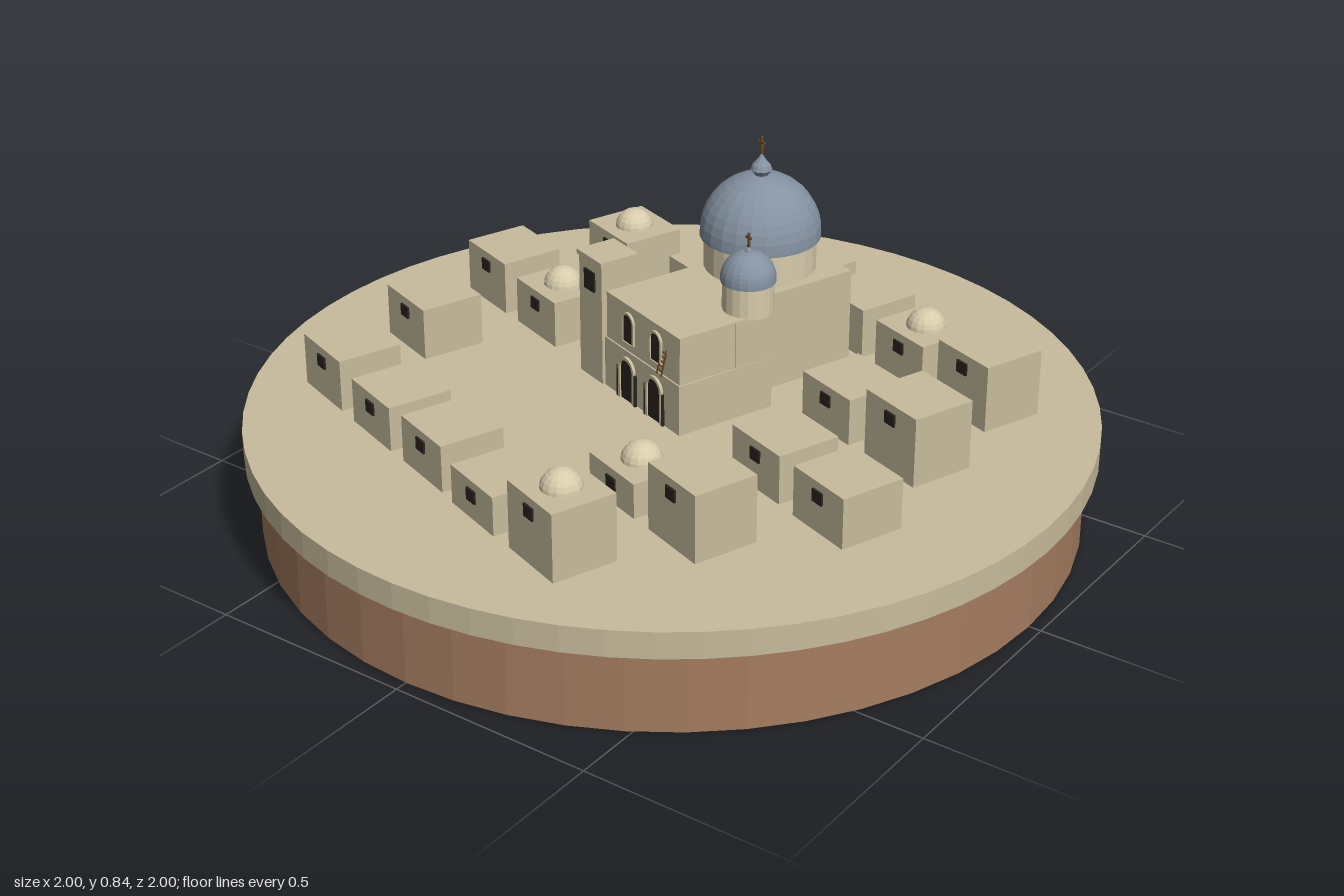
import * as THREE from 'three';

const mat = (name, color, flat = true) => {
  const m = new THREE.MeshStandardMaterial({ color, flatShading: flat });
  m.name = name;
  return m;
};

export function createModel() {
  const stone = mat('stone', 0xc8bc9c);
  const cream = mat('cream', 0xd8ccab);
  const earth = mat('earth', 0xa67d60);
  const slate = mat('slateBlue', 0x8592a2);
  const dark = mat('darkOpening', 0x2a2420);
  const wood = mat('wood', 0x6b4a2c);

  const model = new THREE.Group();
  model.name = 'hillTown';
  const TURN = -0.349, GROUND = 0.265;

  const add = (parent, name, geo, m, x = 0, y = 0, z = 0) => {
    const mesh = new THREE.Mesh(geo, m);
    mesh.name = name;
    mesh.position.set(x, y, z);
    parent.add(mesh);
    return mesh;
  };
  // box resting on y0
  const block = (parent, name, m, w, d, x, y0, y1, z) =>
    add(parent, name, new THREE.BoxGeometry(w, y1 - y0, d), m, x, (y0 + y1) / 2, z);
  const hemisphere = (r, n, rows) => new THREE.SphereGeometry(r, n, rows, 0, Math.PI * 2, 0, Math.PI / 2);
  const lathe = (pts, n) => new THREE.LatheGeometry(pts.map(p => new THREE.Vector2(...p)), n);

  // round plinth
  add(model, 'earthBase', new THREE.CylinderGeometry(0.97, 0.97, 0.2, 48), earth, 0, 0.1, 0);
  add(model, 'stonePlatform', new THREE.CylinderGeometry(1, 1, GROUND - 0.2, 64), stone, 0, (GROUND + 0.2) / 2, 0);

  // houses: x, z, roof height, has dome
  const houses = [
    [-0.245, -0.71, 0.425, 0], [-0.03, -0.63, 0.39, 0], [0.19, -0.55, 0.39, 0],
    [0.405, -0.47, 0.388, 1], [0.62, -0.395, 0.43, 0], [-0.46, -0.475, 0.42, 1],
    [-0.66, -0.235, 0.4, 0], [-0.445, -0.16, 0.383, 1], [0.4, -0.16, 0.38, 0],
    [0.62, -0.08, 0.435, 0], [-0.66, 0.075, 0.395, 0], [0.42, 0.155, 0.385, 0],
    [0.635, 0.235, 0.388, 0], [-0.645, 0.39, 0.393, 0], [-0.425, 0.47, 0.375, 0],
    [-0.21, 0.545, 0.38, 0], [0, 0.625, 0.36, 0], [0.22, 0.7, 0.43, 1],
    [0.2, 0.39, 0.35, 1], [0.415, 0.465, 0.43, 0],
  ];
  for (const [x, z, top, domed] of houses) {
    const house = new THREE.Group();
    house.name = 'house';
    house.position.set(x, 0, z);
    house.rotation.y = TURN;
    block(house, 'houseWalls', stone, 0.176, 0.16, 0, GROUND, top, 0);
    block(house, 'houseWindow', dark, 0.034, 0.008, 0, top - 0.05, top - 0.02, 0.081);
    if (domed) add(house, 'houseDome', hemisphere(0.048, 16, 6), cream, 0, top - 0.004, 0);
    model.add(house);
  }

  // church, origin under the main dome
  const church = new THREE.Group();
  church.name = 'church';
  church.position.set(0.035, 0, -0.31);
  church.rotation.y = TURN;
  model.add(church);
  block(church, 'rearHall', stone, 0.31, 0.31, 0, GROUND, 0.51, 0);
  block(church, 'frontHallLower', stone, 0.31, 0.26, 0.075, GROUND, 0.392, 0.26);
  block(church, 'frontHallUpper', stone, 0.302, 0.256, 0.075, 0.392, 0.51, 0.258);

  // bell tower
  block(church, 'bellTower', stone, 0.096, 0.096, -0.132, GROUND, 0.57, 0.347);
  block(church, 'bellTowerCap', stone, 0.104, 0.104, -0.132, 0.57, 0.582, 0.347);
  for (const s of [-1, 1])
    block(church, 'bellTowerWindow', dark, 0.042, 0.008, -0.132, 0.495, 0.545, 0.347 + s * 0.049);

  // arched openings on the facade
  const arch = (w, h) => {
    const r = w / 2, s = new THREE.Shape();
    s.moveTo(-r, 0);
    s.lineTo(r, 0);
    s.lineTo(r, h - r);
    s.absarc(0, h - r, r, 0, Math.PI, false);
    return s;
  };
  const archPlate = (w, h) =>
    new THREE.ExtrudeGeometry(arch(w, h), { depth: 0.004, bevelEnabled: false, curveSegments: 8 });
  const archFrame = (w, h, t) => {
    const s = arch(w + 2 * t, h + t);
    s.holes.push(arch(w, h));
    return new THREE.ExtrudeGeometry(s, { depth: 0.008, bevelEnabled: false, curveSegments: 8 });
  };
  for (const s of [-1, 1]) {
    const x = 0.075 + s * 0.057;
    add(church, 'upperWindow', archPlate(0.038, 0.072), dark, x, 0.415, 0.385);
    add(church, 'upperWindowFrame', archFrame(0.038, 0.072, 0.006), stone, x, 0.415, 0.384);
    add(church, 'portal', archPlate(0.05, 0.105), dark, x, GROUND, 0.389);
    add(church, 'portalFrame', archFrame(0.05, 0.105, 0.008), stone, x, GROUND, 0.389);
    for (const side of [-1, 1])
      add(church, 'portalColumn', new THREE.CylinderGeometry(0.004, 0.004, 0.08, 8), dark,
        x + side * 0.036, GROUND + 0.04, 0.394);
  }

  // ladder leaning on the ledge below the right window
  const ladder = new THREE.Group();
  ladder.name = 'ladder';
  ladder.position.set(0.155, 0.392, 0.395);
  ladder.rotation.set(-0.15, 0, -0.12);
  for (const s of [-1, 1]) block(ladder, 'ladderRail', wood, 0.003, 0.003, s * 0.009, 0, 0.07, 0);
  for (let i = 1; i < 6; i++) block(ladder, 'ladderRung', wood, 0.018, 0.003, 0, i * 0.0115, i * 0.0115 + 0.003, 0);
  church.add(ladder);

  // drum, dome, finial and cross; r is the dome radius
  const cupola = (name, r, x, z, y0, y1, finialH, crossH, n) => {
    const g = new THREE.Group();
    g.name = name;
    g.position.set(x, 0, z);
    const d = r * 0.93;
    add(g, 'drum', new THREE.CylinderGeometry(d, d, y1 - y0, n), cream, 0, (y0 + y1) / 2, 0);
    add(g, 'domeRim', new THREE.CylinderGeometry(r, r, 0.008, n), slate, 0, y1 - 0.004, 0);
    add(g, 'dome', hemisphere(r, n, 10), slate, 0, y1, 0);
    const h = finialH, top = y1 + r - 0.006;
    add(g, 'finial', lathe([[0.22 * h, 0], [0.3 * h, 0.12 * h], [0.43 * h, 0.3 * h], [0.36 * h, 0.5 * h],
      [0.14 * h, 0.75 * h], [0, h]], 12), slate, 0, top, 0);
    const c = top + h - 0.004;
    block(g, 'crossPost', wood, 0.005, 0.005, 0, c, c + crossH, 0);
    block(g, 'crossArm', wood, crossH * 0.55, 0.005, 0, c + crossH * 0.6, c + crossH * 0.6 + 0.005, 0);
    church.add(g);
  };
  cupola('mainCupola', 0.145, 0, 0, 0.51, 0.597, 0.06, 0.045, 24);
  cupola('smallCupola', 0.065, 0.178, 0.163, 0.505, 0.588, 0.02, 0.035, 20);
  // pier carrying the small cupola
  block(church, 'smallCupolaPier', stone, 0.1, 0.1, 0.178, GROUND, 0.508, 0.182);

  return model;
}
